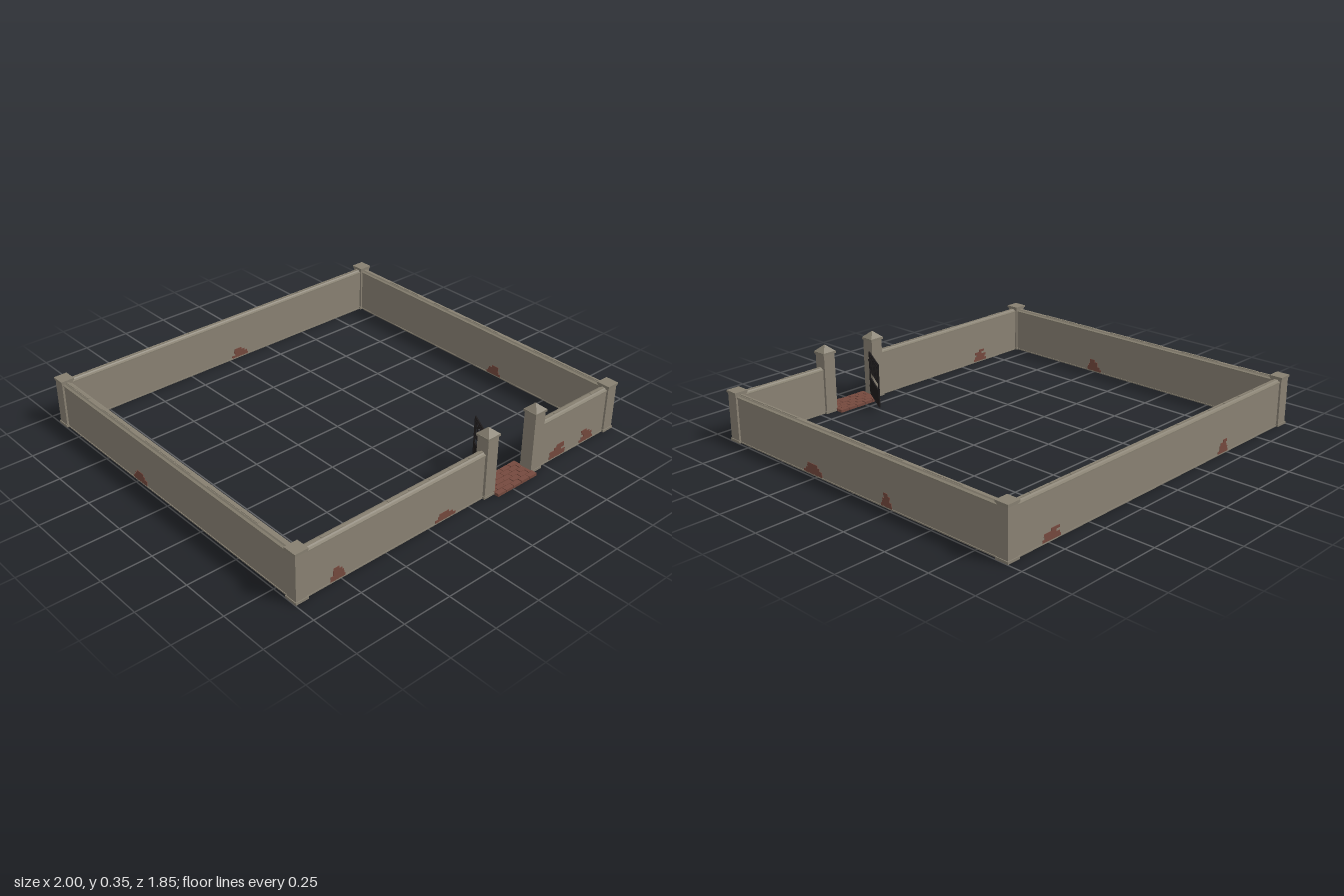
import * as THREE from 'three';

const mat = (name, color) => {
  const m = new THREE.MeshStandardMaterial({ color });
  m.name = name;
  return m;
};

export function createModel() {
  const plaster = mat('plaster', 0x8a8274);
  const coping = mat('coping stone', 0x878071);
  const brick = mat('brick', 0x75493e);
  const iron = mat('iron', 0x1d1a1b);
  const model = new THREE.Group();
  let seed = 11;
  const rand = () => (seed = (seed * 16807) % 2147483647) / 2147483647;

  const box = (parent, name, m, w, h, d, x, y0, z) => {
    const mesh = new THREE.Mesh(new THREE.BoxGeometry(w, h, d), m);
    mesh.name = name;
    mesh.position.set(x, y0 + h / 2, z);
    parent.add(mesh);
    return mesh;
  };
  const group = (name, parent = model) => {
    const g = new THREE.Group();
    g.name = name;
    parent.add(g);
    return g;
  };

  const X = 0.965, FRONT = 0.856, BACK = -0.893, T = 0.04;

  // Sloped coping cross-section, extruded along the wall
  const profile = new THREE.Shape([
    [-0.023, 0.224], [0.023, 0.224], [0.023, 0.23], [0.013, 0.234],
    [0.008, 0.239], [-0.008, 0.239], [-0.013, 0.234], [-0.023, 0.23],
  ].map(([x, y]) => new THREE.Vector2(x, y)));

  // Exposed bricks in ragged courses, narrowing upwards on one wall face
  const patch = (parent, at, width, rows, side) => {
    const g = group('exposedBricks', parent);
    for (let r = 0; r < rows; r++) {
      const w = width * (1 - 0.75 * r / rows) * (0.85 + 0.15 * rand());
      const shift = (rand() - 0.5) * (width - w) * 0.6;
      box(g, 'brickCourse', brick, w, 0.0125, 0.005, at + shift, 0.006 + r * 0.0125, side * T / 2);
    }
  };

  // Wall running along local x, its outer face towards local +z
  const wall = (name, length, x, z, turn, patches) => {
    const g = group(name);
    g.position.set(x, 0, z);
    g.rotation.y = turn;
    box(g, 'wallBody', plaster, length, 0.225, T, 0, 0, 0);
    box(g, 'wallFooting', coping, length, 0.006, T + 0.006, 0, 0, 0);
    const geo = new THREE.ExtrudeGeometry(profile, { depth: length, bevelEnabled: false });
    geo.translate(0, 0, -length / 2);
    geo.rotateY(Math.PI / 2);
    const cap = new THREE.Mesh(geo, coping);
    cap.name = 'coping';
    g.add(cap);
    // Uneven ridge stones along the top
    const n = Math.round(length / 0.12);
    for (let i = 0; i < n; i++) {
      if (rand() < 0.35) continue;
      box(g, 'ridgeStone', coping, length / n * 0.94, 0.004, 0.011,
        (i + 0.5) * length / n - length / 2, 0.2375, 0);
    }
    patches.forEach((p) => patch(g, ...p));
  };

  // Patches: position along wall, width, courses, face (1 outer, -1 inner)
  const sideLength = FRONT - BACK, midZ = (FRONT + BACK) / 2;
  const frontLeftMid = (-X + 0.125) / 2, frontRightMid = (0.435 + X) / 2;
  wall('frontWallLong', 0.125 + X, frontLeftMid, FRONT, 0, [
    [-0.765 - frontLeftMid, 0.09, 5, 1], [-0.145 - frontLeftMid, 0.13, 3, 1],
    [-0.64 - frontLeftMid, 0.1, 5, -1],
  ]);
  wall('frontWallShort', X - 0.435, frontRightMid, FRONT, 0, [
    [0.595 - frontRightMid, 0.13, 5, 1], [0.81 - frontRightMid, 0.1, 5, 1],
    [0.72 - frontRightMid, 0.08, 3, -1],
  ]);
  wall('backWall', 2 * X, 0, BACK, Math.PI, [
    [-0.73, 0.12, 4, 1], [0.47, 0.08, 5, 1], [-0.07, 0.11, 4, -1],
  ]);
  wall('leftWall', sideLength, X, midZ, Math.PI / 2, [
    [midZ - 0.28, 0.15, 4, 1], [midZ + 0.215, 0.07, 5, 1], [midZ - 0.16, 0.1, 4, -1],
  ]);
  wall('rightWall', sideLength, -X, midZ, -Math.PI / 2, [
    [-0.23 - midZ, 0.12, 4, 1], [0.25 - midZ, 0.1, 5, -1],
  ]);

  // Corner posts with flat caps
  for (const x of [-X, X]) for (const z of [FRONT, BACK]) {
    const g = group('cornerPost');
    g.position.set(x, 0, z);
    box(g, 'postBody', plaster, 0.06, 0.244, 0.06, 0, 0, 0);
    box(g, 'postBase', coping, 0.068, 0.012, 0.068, 0, 0, 0);
    box(g, 'postCapNeck', coping, 0.065, 0.005, 0.065, 0, 0.24, 0);
    box(g, 'postCap', coping, 0.07, 0.01, 0.07, 0, 0.245, 0);
  }

  // Taller gate pillars with pyramid caps
  for (const x of [0.125, 0.435]) {
    const g = group('gatePillar');
    g.position.set(x, 0, FRONT);
    box(g, 'pillarBody', plaster, 0.066, 0.31, 0.066, 0, 0, 0);
    box(g, 'pillarBase', coping, 0.074, 0.012, 0.072, 0, 0, 0);
    box(g, 'pillarCap', coping, 0.078, 0.012, 0.074, 0, 0.308, 0);
    const geo = new THREE.CylinderGeometry(0.004, 0.052, 0.03, 4).toNonIndexed();
    geo.rotateY(Math.PI / 4);
    geo.computeVertexNormals();
    const roof = new THREE.Mesh(geo, coping);
    roof.name = 'pillarRoof';
    roof.position.y = 0.335;
    g.add(roof);
  }

  // Brick threshold laid in staggered courses
  const threshold = group('brickThreshold');
  const rows = 5, pitch = 0.14 / rows;
  for (let r = 0; r < rows; r++) {
    const edges = r % 2 ? [0, 0.5, 1.5, 2.5, 3.5, 4.5, 5] : [0, 1, 2, 3, 4, 5];
    for (let i = 0; i + 1 < edges.length; i++) {
      const a = 0.15 + edges[i] * 0.052, b = 0.15 + edges[i + 1] * 0.052;
      box(threshold, 'floorBrick', brick, b - a - 0.003, 0.013 + 0.003 * rand(), pitch - 0.003,
        (a + b) / 2, 0, 0.78 + (r + 0.5) * pitch);
    }
  }

  // Iron gate swung open inwards
  const gate = group('gate');
  gate.position.set(0.165, 0, 0.838);
  gate.rotation.y = 1.065;
  const L = 0.218;
  box(gate, 'gatePanel', iron, L, 0.09, 0.005, L / 2, 0.025, 0);
  for (const y of [0.025, 0.109, 0.15, 0.23, 0.247]) {
    box(gate, 'gateRail', iron, L, 0.006, 0.007, L / 2, y, 0);
  }
  for (const x of [0.004, L - 0.004]) box(gate, 'gateStile', iron, 0.007, 0.228, 0.007, x, 0.025, 0);
  for (let i = 1; i < 11; i++) box(gate, 'gateBar', iron, 0.004, 0.098, 0.004, i * L / 11, 0.152, 0);
  for (const y of [0.06, 0.2]) box(gate, 'gateHinge', iron, 0.02, 0.008, 0.008, -0.006, y, 0);

  return model;
}
